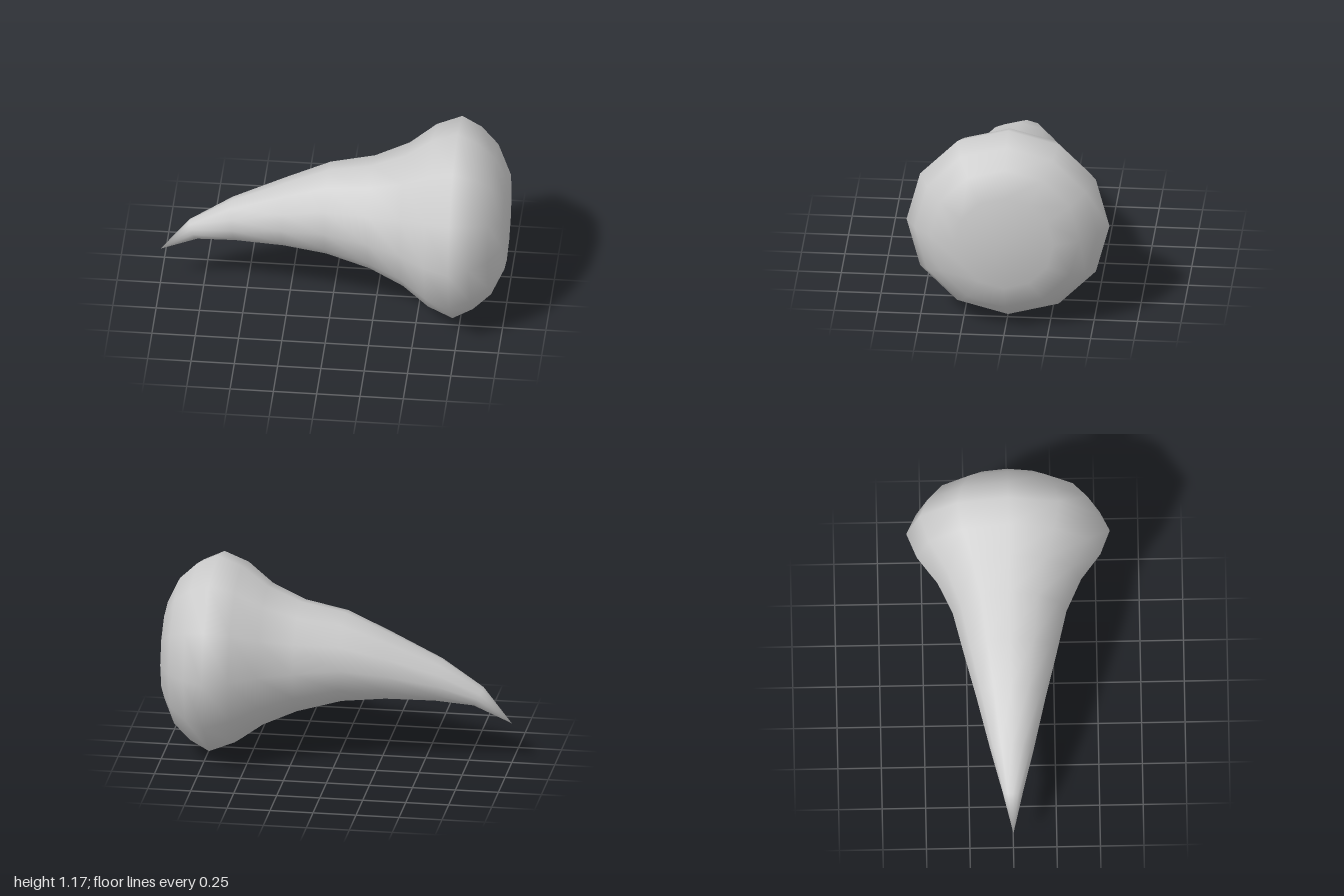
import * as THREE from 'three';

const SIDES = 12;

// Ring stations from tip to base: [topX, topY, bottomX, bottomY, half width in z]
const RINGS = [
  [-0.835, 0.45, -0.78, 0.34, 0.058],
  [-0.59, 0.61, -0.56, 0.36, 0.125],
  [-0.28, 0.755, -0.28, 0.36, 0.2],
  [-0.03, 0.865, -0.03, 0.335, 0.267],
  [0.225, 0.915, 0.225, 0.26, 0.327],
  [0.42, 1.0, 0.42, 0.17, 0.415],
  [0.57, 1.115, 0.57, 0.06, 0.528],
  [0.715, 1.17, 0.715, 0, 0.585],
  [0.83, 1.115, 0.83, 0.06, 0.528],
  [0.93, 1.02, 0.93, 0.15, 0.433],
  [1.0, 0.87, 1.0, 0.3, 0.285],
];

// Skin of elliptical rings closed by a point at each end
function hornGeometry(tip, rings, baseCentre) {
  const pos = [...tip];
  for (const [tx, ty, bx, by, w] of rings) {
    for (let j = 0; j < SIDES; j++) {
      const a = (j / SIDES) * Math.PI * 2;
      const t = (1 + Math.cos(a)) / 2;
      pos.push(bx + (tx - bx) * t, by + (ty - by) * t, w * Math.sin(a));
    }
  }
  pos.push(...baseCentre);

  const at = (i, j) => 1 + i * SIDES + (j % SIDES);
  const last = rings.length - 1;
  const end = 1 + rings.length * SIDES;
  const index = [];
  for (let j = 0; j < SIDES; j++) {
    index.push(0, at(0, j + 1), at(0, j));
    for (let i = 0; i < last; i++) {
      index.push(at(i, j), at(i, j + 1), at(i + 1, j + 1));
      index.push(at(i, j), at(i + 1, j + 1), at(i + 1, j));
    }
    index.push(at(last, j), at(last, j + 1), end);
  }

  const geo = new THREE.BufferGeometry();
  geo.setAttribute('position', new THREE.Float32BufferAttribute(pos, 3));
  geo.setIndex(index);
  geo.computeVertexNormals();
  return geo;
}

export function createModel() {
  const group = new THREE.Group();
  group.name = 'curvedHorn';
  // Curved spike flowing into a rounded, flared base
  const horn = new THREE.Mesh(
    hornGeometry([-1, 0.24, 0], RINGS, [1, 0.585, 0]),
    new THREE.MeshStandardMaterial({ color: 0xcccccc })
  );
  horn.name = 'horn';
  group.add(horn);
  return group;
}
